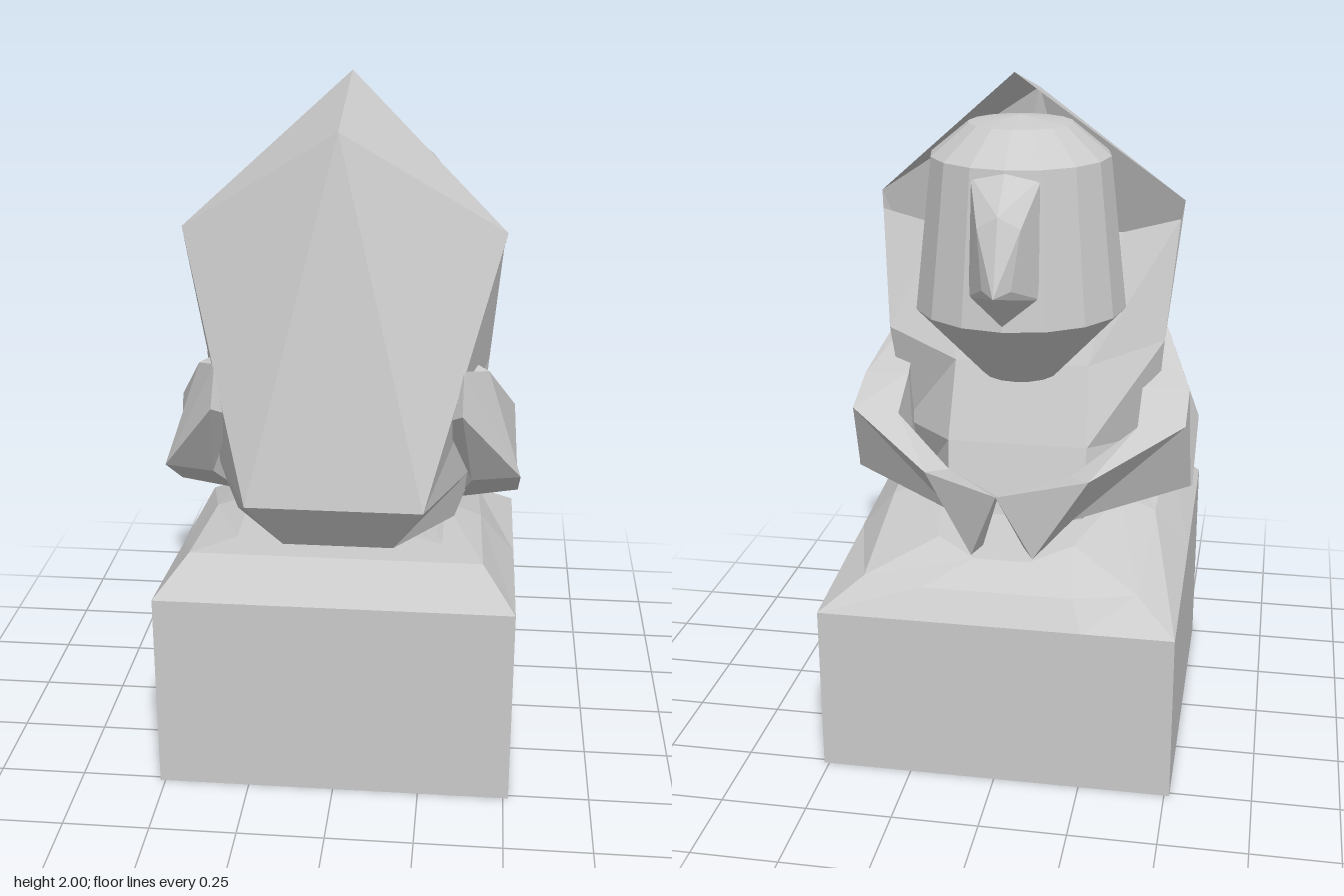
import * as THREE from 'three';
import { ConvexGeometry } from 'three/addons/geometries/ConvexGeometry.js';

const material = new THREE.MeshStandardMaterial({ color: 0xcccccc, flatShading: true, side: THREE.DoubleSide });

function mesh(name, geometry) {
  const m = new THREE.Mesh(geometry, material);
  m.name = name;
  return m;
}

// Geometry from a list of triangles, each three [x, y, z] corners
function fromTriangles(tris) {
  const g = new THREE.BufferGeometry();
  g.setAttribute('position', new THREE.Float32BufferAttribute(tris.flat(2), 3));
  g.computeVertexNormals();
  return g;
}

// Skin rings of equal length; a closed skin joins last to first and has both ends fanned shut
function loft(rings, closed) {
  const tris = [];
  const n = rings[0].length;
  for (let r = 0; r < rings.length - 1; r++) {
    for (let i = 0; i < (closed ? n : n - 1); i++) {
      const j = (i + 1) % n;
      const [a, b, c, d] = [rings[r][i], rings[r][j], rings[r + 1][j], rings[r + 1][i]];
      tris.push([a, b, c], [a, c, d]);
    }
  }
  const start = rings[0], end = rings[rings.length - 1];
  for (let i = 1; closed && i < n - 1; i++) {
    tris.push([start[0], start[i + 1], start[i]], [end[0], end[i], end[i + 1]]);
  }
  return tris;
}

const flip = ([x, y, z]) => [-x, y, z];
const mirrored = (half) => [...half, ...half.map(flip).reverse()];

export function createModel() {
  const group = new THREE.Group();

  // Square block with a chamfered top that slopes down at the -z side
  const pedestal = [
    [[0.515, 0, 0.515], [0.515, 0, 0], [0.515, 0, -0.515], [0.25, 0, -0.515]],
    [[0.515, 0.6, 0.515], [0.515, 0.55, 0], [0.515, 0.5, -0.515], [0.25, 0.5, -0.515]],
    [[0.42, 0.71, 0.42], [0.41, 0.67, 0], [0.4, 0.58, -0.41], [0.22, 0.58, -0.46]],
    [[0.3, 0.71, 0.3], [0.3, 0.71, 0], [0.2, 0.67, -0.3], [0.08, 0.64, -0.37]],
  ].map(mirrored);
  group.add(mesh('pedestal', fromTriangles(loft(pedestal, true))));

  // Robe sides and chest, wrapping round the front from one back edge to the other
  const foot = [0.16, 0.71, 0.34], hip = [0.25, 0.88, 0.47], shoulder = [0.46, 1.6, 0.15];
  const robe = [
    [foot, [0.33, 0.71, 0.1], [0.2, 0.69, -0.16]],
    [hip, [0.39, 0.88, 0.1], [0.21, 0.9, -0.11]],
    [[0.343, 1.2, 0.328], [0.42, 1.2, 0.04], [0.2, 1.13, -0.03]],
    [shoulder, [0.45, 1.55, 0.12], [0.28, 1.5, 0.14]],
  ].map(mirrored);
  group.add(mesh('robe', fromTriangles(loft(robe, false))));

  // Flat back panel, narrowing to the hem and rising to the crown
  const tip = [0, 2, -0.14], crown = [0, 1.9, 0.3];
  group.add(mesh('robeBack', fromTriangles([
    [flip(foot), foot, hip],
    [flip(foot), hip, flip(hip)],
    [flip(hip), hip, crown],
    [hip, shoulder, crown],
    [flip(hip), crown, flip(shoulder)],
  ])));

  // Pointed hood above the shoulders
  group.add(mesh('hood', fromTriangles([
    [shoulder, tip, crown],
    [crown, tip, flip(shoulder)],
  ])));

  // Faceted head
  const profile = [[0, 1.11], [0.11, 1.11], [0.31, 1.32], [0.26, 1.76], [0.15, 1.85], [0, 1.87]]
    .map(([r, y]) => new THREE.Vector2(r, y));
  const head = mesh('head', new THREE.LatheGeometry(profile, 16));
  head.position.z = -0.04;
  group.add(head);

  // Brow and nose wedge
  const facePoints = [
    [0, 1.78, -0.27], [0, 1.655, -0.405], [0, 1.45, -0.48], [0, 1.38, -0.38], [0, 1.32, -0.33],
  ];
  for (const s of [-1, 1]) {
    facePoints.push([s * 0.1, 1.74, -0.27], [s * 0.06, 1.62, -0.39], [s * 0.04, 1.46, -0.43], [s * 0.11, 1.4, -0.29]);
  }
  group.add(mesh('face', new ConvexGeometry(facePoints.map((p) => new THREE.Vector3(...p)))));

  // Sleeved arms, folded so the hands meet; rings run shoulder to hand
  const arm = [
    [[0.35, 1.245, 0.31], [0.35, 1.14, 0.39], [0.3, 1.1, 0.33], [0.32, 1.22, 0.28]],
    [[0.42, 1.2, 0.17], [0.52, 0.9, 0.23], [0.38, 0.88, 0.22], [0.35, 1.24, 0.17]],
    [[0.5, 1.05, 0.03], [0.52, 0.76, 0.0], [0.34, 0.73, 0.0], [0.36, 1.06, 0.02]],
    [[0.5, 0.99, -0.12], [0.515, 0.76, -0.01], [0.3, 0.72, -0.04], [0.36, 0.98, -0.12]],
    [[0.24, 0.87, -0.3], [0.18, 0.7, -0.19], [0.15, 0.72, -0.16], [0.18, 0.86, -0.24]],
    [[0, 0.875, -0.46], [0.09, 0.65, -0.37], [0.06, 0.67, -0.34], [0, 0.86, -0.42]],
  ];
  const armGeometry = fromTriangles(loft(arm, true));
  for (const [name, side] of [['leftArm', 1], ['rightArm', -1]]) {
    const m = mesh(name, armGeometry);
    m.scale.x = side;
    group.add(m);
  }

  return group;
}
